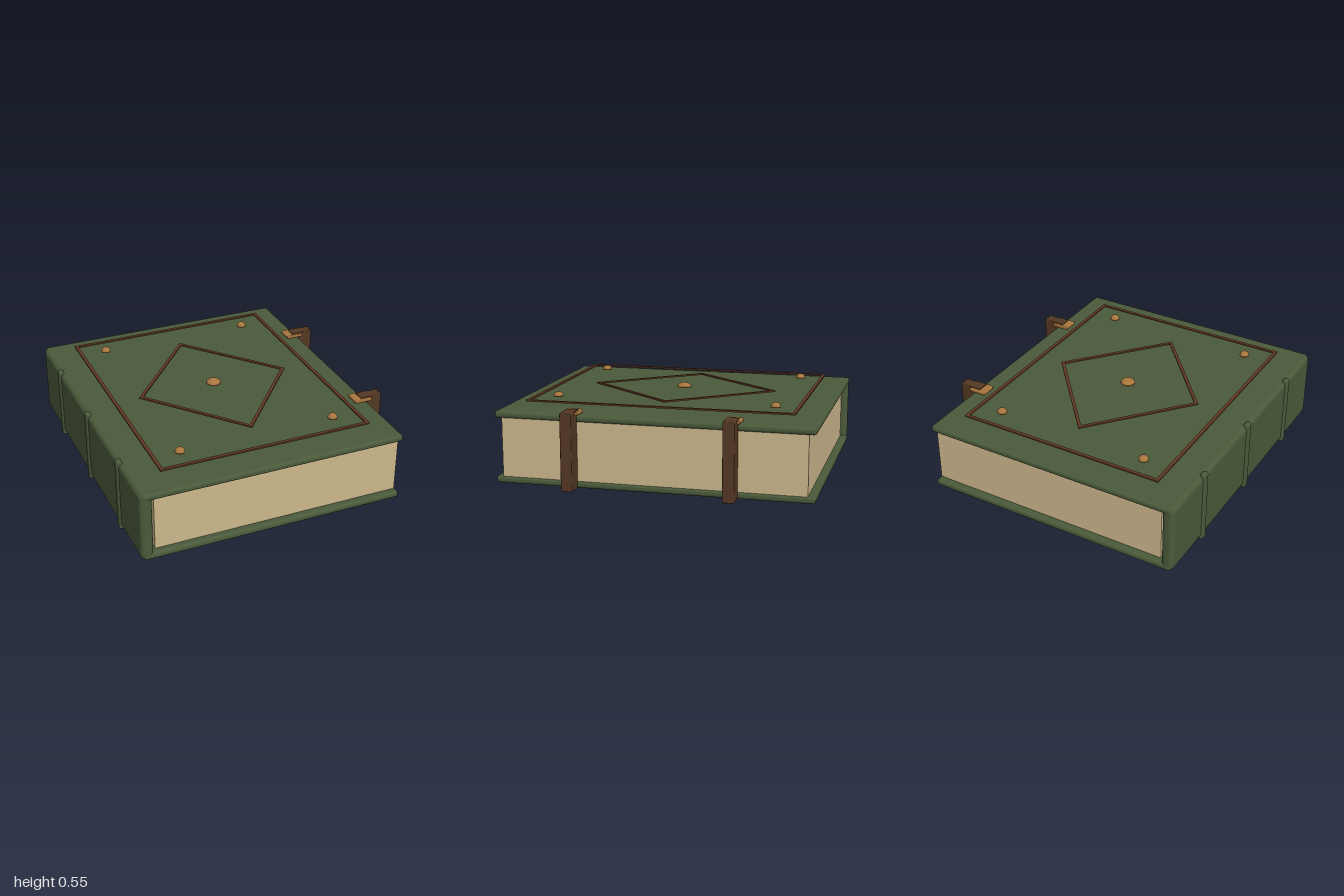
import * as THREE from 'three';
import { RoundedBoxGeometry } from 'three/addons/geometries/RoundedBoxGeometry.js';

const mat = (name, color) => {
  const m = new THREE.MeshStandardMaterial({ color });
  m.name = name;
  return m;
};

export function createModel() {
  const leather = mat('green leather', 0x4a5a3a);
  const paper = mat('paper', 0xcdb88c);
  const trim = mat('brown trim', 0x5e3822);
  const strapLeather = mat('strap leather', 0x543822);
  const brass = mat('brass', 0xa8763e);
  const book = new THREE.Group();
  book.name = 'book';

  const add = (name, geometry, material, x = 0, y = 0, z = 0) => {
    const mesh = new THREE.Mesh(geometry, material);
    mesh.name = name;
    mesh.position.set(x, y, z);
    book.add(mesh);
    return mesh;
  };
  // Box given by its lowest and highest coordinates, optionally rounded
  const box = (name, material, [x0, x1], [y0, y1], [z0, z1], r = 0) => {
    const s = [x1 - x0, y1 - y0, z1 - z0];
    const g = r ? new RoundedBoxGeometry(...s, 3, r) : new THREE.BoxGeometry(...s);
    return add(name, g, material, (x0 + x1) / 2, (y0 + y1) / 2, (z0 + z1) / 2);
  };

  // Covers, spine and page block
  box('bottomCover', leather, [-0.89, 0.81], [0.02, 0.064], [-1, 1], 0.018);
  box('topCover', leather, [-0.89, 0.81], [0.434, 0.478], [-1, 1], 0.018);
  box('spine', leather, [-0.905, -0.826], [0.02, 0.478], [-0.998, 0.998], 0.032);
  box('pages', paper, [-0.808, 0.8], [0.05, 0.45], [-0.955, 0.955]);

  // Raised bands across the spine
  for (const z of [-0.6, 0, 0.6])
    box('spineBand', leather, [-0.916, -0.878], [0.004, 0.492], [z - 0.027, z + 0.027], 0.015);

  // Flat outline lying on the cover: outer polygon with a similar hole
  const outline = (name, outer, inner) => {
    const pts = (a) => a.map(([x, z]) => new THREE.Vector2(x, z));
    const shape = new THREE.Shape(pts(outer));
    shape.holes.push(new THREE.Path(pts(inner)));
    const g = new THREE.ExtrudeGeometry(shape, { depth: 0.01, bevelEnabled: false });
    g.rotateX(-Math.PI / 2);
    add(name, g, trim, -0.036, 0.514, 0);
  };
  const rect = (w, d) => [[-w, -d], [w, -d], [w, d], [-w, d]];
  const diamond = (w, d) => [[-w, 0], [0, -d], [w, 0], [0, d]];
  outline('borderFrame', rect(0.688, 0.85), rect(0.666, 0.828));
  outline('diamondFrame', diamond(0.515, 0.612), diamond(0.487, 0.58));

  // Domed studs
  const stud = (name, r, x, z) => {
    const profile = [new THREE.Vector2(0, 0)];
    for (let i = 0; i <= 6; i++) {
      const a = (i / 6) * Math.PI / 2;
      profile.push(new THREE.Vector2(r * Math.cos(a), 0.03 * Math.sin(a)));
    }
    add(name, new THREE.LatheGeometry(profile, 20), brass, x, 0.521, z);
  };
  stud('centerStud', 0.048, -0.036, 0);
  for (const x of [-0.545, 0.472])
    for (const z of [-0.7, 0.7]) stud('cornerStud', 0.032, x, z);

  // Clasps: upright strap, tongue over the cover and brass plate
  for (const z of [-0.5, 0.5]) {
    const width = [z - 0.036, z + 0.036];
    box('claspStrap', strapLeather, [0.802, 0.915], [0.022, 0.508], width, 0.006);
    box('claspTongue', strapLeather, [0.766, 0.85], [0.484, 0.507], width);
    box('claspPlate', brass, [0.72, 0.838], [0.48, 0.502], [z - 0.051, z + 0.051], 0.006);
  }

  return book;
}
